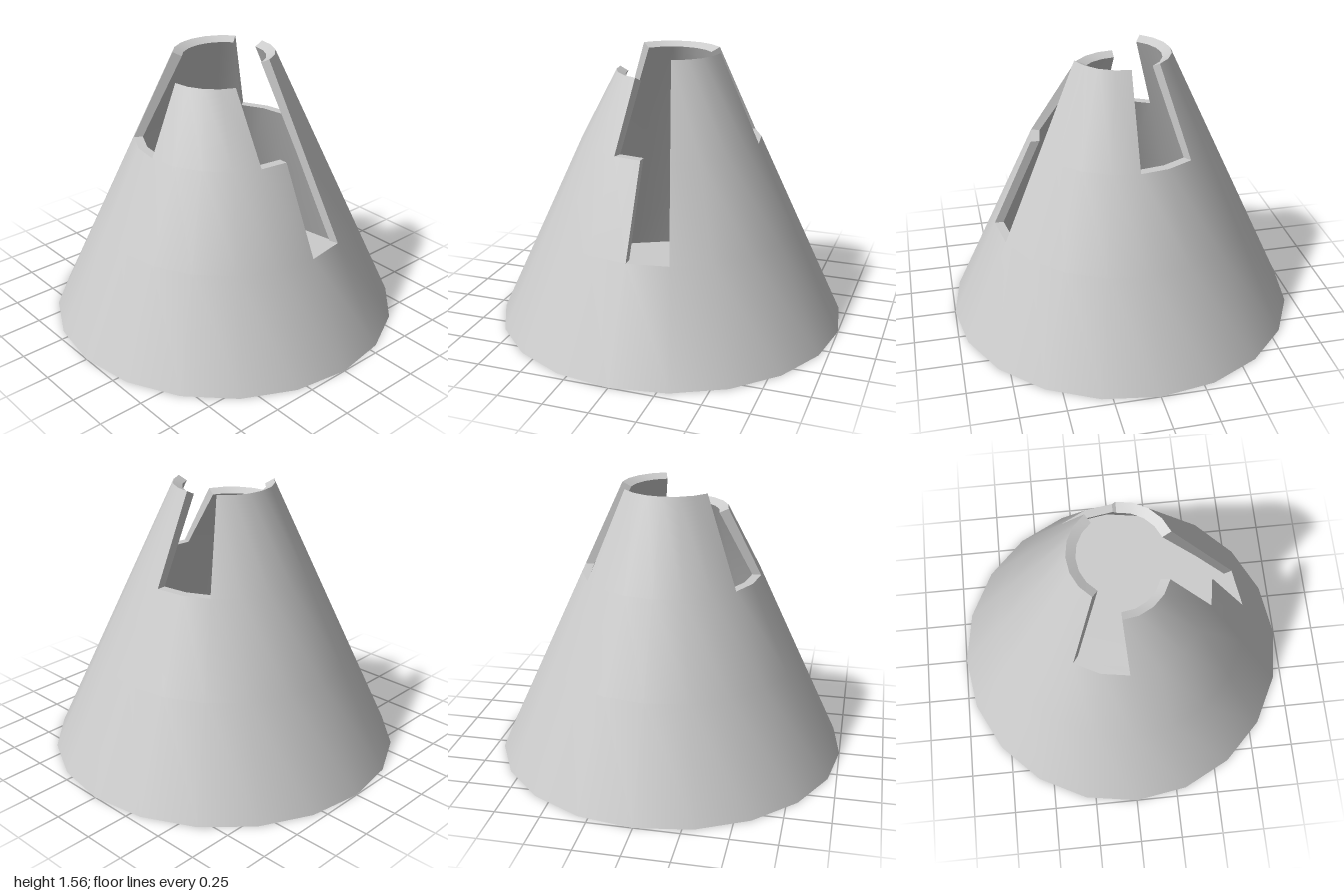
import * as THREE from 'three';
import { toCreasedNormals } from 'three/addons/utils/BufferGeometryUtils.js';

const SIDES = 20;
// Cross-section rings of the wall, [radius, height] from base to rim
const OUTER = [[1, 0], [0.732, 0.58], [0.506, 1.07], [0.28, 1.56]];
const INNER = [[0.925, 0.05], [0.682, 0.58], [0.456, 1.07], [0.23, 1.535]];

// Gaps: segment numbers missing from each band of the wall
const MISSING = [[], [19], [0, 5, 6, 13, 14, 19]];
const isWall = (k, band) => band < 3 && !MISSING[band].includes((k + SIDES) % SIDES);

// Point on a ring; the front panel's top has sunk and slid out of place
function ringPoint(ring, k, level) {
  const [r, y] = ring[level];
  const n = k % SIDES;
  const a = (n / SIDES) * Math.PI * 2;
  const p = new THREE.Vector3(r * Math.cos(a), y, r * Math.sin(a));
  if (level === 3 && n >= 1 && n <= 5) p.add(new THREE.Vector3(-0.025, -0.115, 0.04));
  return p;
}

function makeMesh(name, points, material) {
  const geometry = new THREE.BufferGeometry().setFromPoints(points);
  const mesh = new THREE.Mesh(toCreasedNormals(geometry, 0.55), material);
  mesh.name = name;
  return mesh;
}

export function createModel() {
  const group = new THREE.Group();
  group.name = 'brokenCone';
  const material = new THREE.MeshStandardMaterial({ color: 0xcccccc, side: THREE.DoubleSide });

  const wall = [], base = [], floor = [];
  const quad = (a, b, c, d) => wall.push(a, b, c, a, c, d);
  const o = (k, level) => ringPoint(OUTER, k, level);
  const i = (k, level) => ringPoint(INNER, k, level);

  for (let k = 0; k < SIDES; k++) {
    for (let b = 0; b < 3; b++) {
      if (!isWall(k, b)) continue;
      const t = b + 1;
      // outer and inner skin
      quad(o(k, b), o(k, t), o(k + 1, t), o(k + 1, b));
      quad(i(k, b), i(k + 1, b), i(k + 1, t), i(k, t));
      // rim and cut faces where the wall ends
      if (!isWall(k, t)) quad(o(k, t), i(k, t), i(k + 1, t), o(k + 1, t));
      if (!isWall(k - 1, b)) quad(o(k, b), i(k, b), i(k, t), o(k, t));
      if (!isWall(k + 1, b)) quad(o(k + 1, b), o(k + 1, t), i(k + 1, t), i(k + 1, b));
    }
    // underside and inside floor
    base.push(new THREE.Vector3(0, 0, 0), o(k, 0), o(k + 1, 0));
    floor.push(new THREE.Vector3(0, INNER[0][1], 0), i(k + 1, 0), i(k, 0));
  }

  group.add(
    makeMesh('coneWall', wall, material),
    makeMesh('base', base, material),
    makeMesh('insideFloor', floor, material)
  );
  return group;
}
